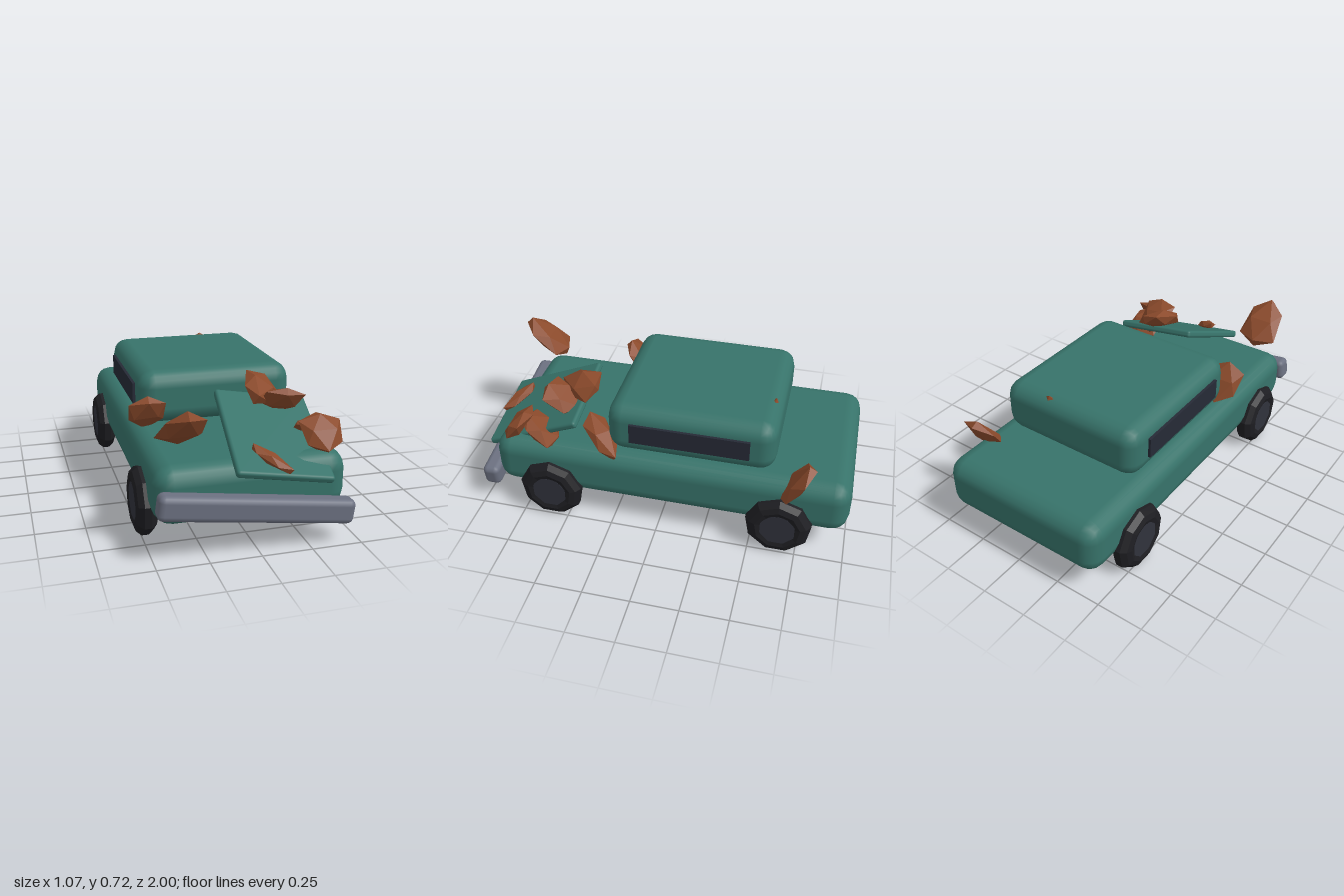
import * as THREE from 'three';
import { RoundedBoxGeometry } from 'three/addons/geometries/RoundedBoxGeometry.js';

const mat = (color, extra = {}) => {
  const m = new THREE.MeshStandardMaterial(extra);
  m.color.set(color);
  return m;
};
const paint = mat(0x37736a);
const glass = mat(0x262a36);
const steel = mat(0x6b7080);
const rubber = mat(0x1e1e22, { flatShading: true });
const hubMetal = mat(0x30323c, { flatShading: true });
const rust = mat(0x8b4a2b, { flatShading: true });

const CX = -0.01; // centre line of the car

function add(parent, name, geometry, material, x, y, z) {
  const mesh = new THREE.Mesh(geometry, material);
  mesh.name = name;
  mesh.position.set(x, y, z);
  parent.add(mesh);
  return mesh;
}

// Small repeatable noise in -1..1
const noise = (n) => {
  const s = Math.sin(n) * 43758.5453;
  return (s - Math.floor(s)) * 2 - 1;
};

// Irregular faceted flake: an icosahedron with jittered corners, flattened
function flakeGeometry(w, thick, len, seed) {
  const geo = new THREE.IcosahedronGeometry(1.1, 0);
  const p = geo.attributes.position;
  for (let i = 0; i < p.count; i++) {
    const x = p.getX(i), y = p.getY(i), z = p.getZ(i);
    const key = Math.round(x * 10) * 1.3 + Math.round(y * 10) * 7.7 + Math.round(z * 10) * 3.1 + seed * 17.9;
    const k = 1 + 0.14 * noise(key);
    p.setXYZ(i, x * k * w, y * k * thick, z * k * len);
  }
  geo.computeVertexNormals();
  return geo;
}

// Nine-sided tyre with rounded shoulders and a recessed hub
function wheel() {
  const g = new THREE.Group();
  const profile = [
    [0.085, -0.045], [0.12, -0.055], [0.15, -0.045], [0.174, -0.018],
    [0.174, 0.018], [0.15, 0.045], [0.12, 0.055], [0.085, 0.045],
  ].map(([r, h]) => new THREE.Vector2(r, h));
  const tyre = add(g, 'tyre', new THREE.LatheGeometry(profile, 9), rubber, 0, 0, 0);
  const hub = add(g, 'hub', new THREE.CylinderGeometry(0.097, 0.097, 0.098, 8), hubMetal, 0, 0, 0);
  tyre.rotation.set(Math.PI / 2, 0, Math.PI / 2, 'ZXY');
  hub.rotation.set(Math.PI / 2, 0, Math.PI / 2, 'ZXY');
  // Turn the axle along x with a flat side on the ground
  tyre.rotation.set(0, 0, Math.PI / 2);
  hub.rotation.set(0, 0, Math.PI / 2);
  tyre.rotateY(Math.PI / 2);
  hub.rotateY(Math.PI / 8);
  return g;
}

export function createModel() {
  const car = new THREE.Group();
  car.name = 'wreckedCar';

  // Shell
  add(car, 'body', new RoundedBoxGeometry(0.94, 0.29, 1.91, 2, 0.09), paint, CX, 0.285, -0.045);
  add(car, 'cabin', new RoundedBoxGeometry(0.82, 0.28, 0.885, 2, 0.085), paint, CX, 0.565, -0.157);

  // Side windows
  for (const s of [-1, 1]) {
    add(car, s > 0 ? 'leftWindow' : 'rightWindow',
      new THREE.BoxGeometry(0.03, 0.11, 0.625), glass, CX + s * 0.409, 0.57, -0.157);
  }

  // Wheels
  for (const s of [-1, 1]) {
    for (const z of [0.59, -0.65]) {
      const w = wheel();
      w.name = (z > 0 ? 'front' : 'rear') + (s > 0 ? 'Left' : 'Right') + 'Wheel';
      w.position.set(CX + s * 0.47, 0.1635, z);
      car.add(w);
    }
  }

  // Sagging front bumper
  const bumper = add(car, 'bumper', new RoundedBoxGeometry(0.955, 0.122, 0.095, 2, 0.03), steel, CX, 0.222, 0.952);
  bumper.rotation.z = -0.14;

  // Bonnet panel torn loose
  const bonnet = add(car, 'looseBonnet', new RoundedBoxGeometry(0.485, 0.04, 0.575, 2, 0.015), paint, 0.14, 0.48, 0.71);
  bonnet.rotation.set(0.435, 0, -0.17, 'ZXY');

  // Rust flakes: centre, half sizes (width, thickness, length), tilt, yaw, roll
  const flakes = [
    [[0.43, 0.425, -0.72], [0.105, 0.035, 0.13], 1.0, 0, 0],
    [[0.12, 0.62, -0.5], [0.09, 0.035, 0.11], 0.8, 0, 0],
    [[-0.395, 0.515, 0.315], [0.105, 0.04, 0.125], -0.9, 0, 0],
    [[0.345, 0.475, 0.325], [0.065, 0.035, 0.145], -0.45, -0.78, 0],
    [[0.15, 0.65, 0.485], [0.09, 0.045, 0.13], 0.2, -0.45, -0.6],
    [[0.235, 0.615, 0.58], [0.1, 0.04, 0.115], -0.65, 0, -0.15],
    [[0.36, 0.48, 0.655], [0.1, 0.04, 0.12], -0.6, 0, 0],
    [[0.37, 0.495, 0.785], [0.11, 0.04, 0.11], 0.88, 0, 0],
    [[0.065, 0.44, 0.905], [0.04, 0.025, 0.11], 0.45, 0.85, 0],
    [[-0.34, 0.61, 0.86], [0.11, 0.042, 0.15], -0.68, 0, 0],
  ];
  const rustGroup = new THREE.Group();
  rustGroup.name = 'rustFlakes';
  flakes.forEach(([c, [w, t, l], tilt, yaw, roll], i) => {
    const flake = add(rustGroup, 'rustFlake', flakeGeometry(w, t, l, i + 1), rust, ...c);
    flake.rotation.set(tilt, yaw, roll, 'YXZ');
  });
  car.add(rustGroup);

  return car;
}
